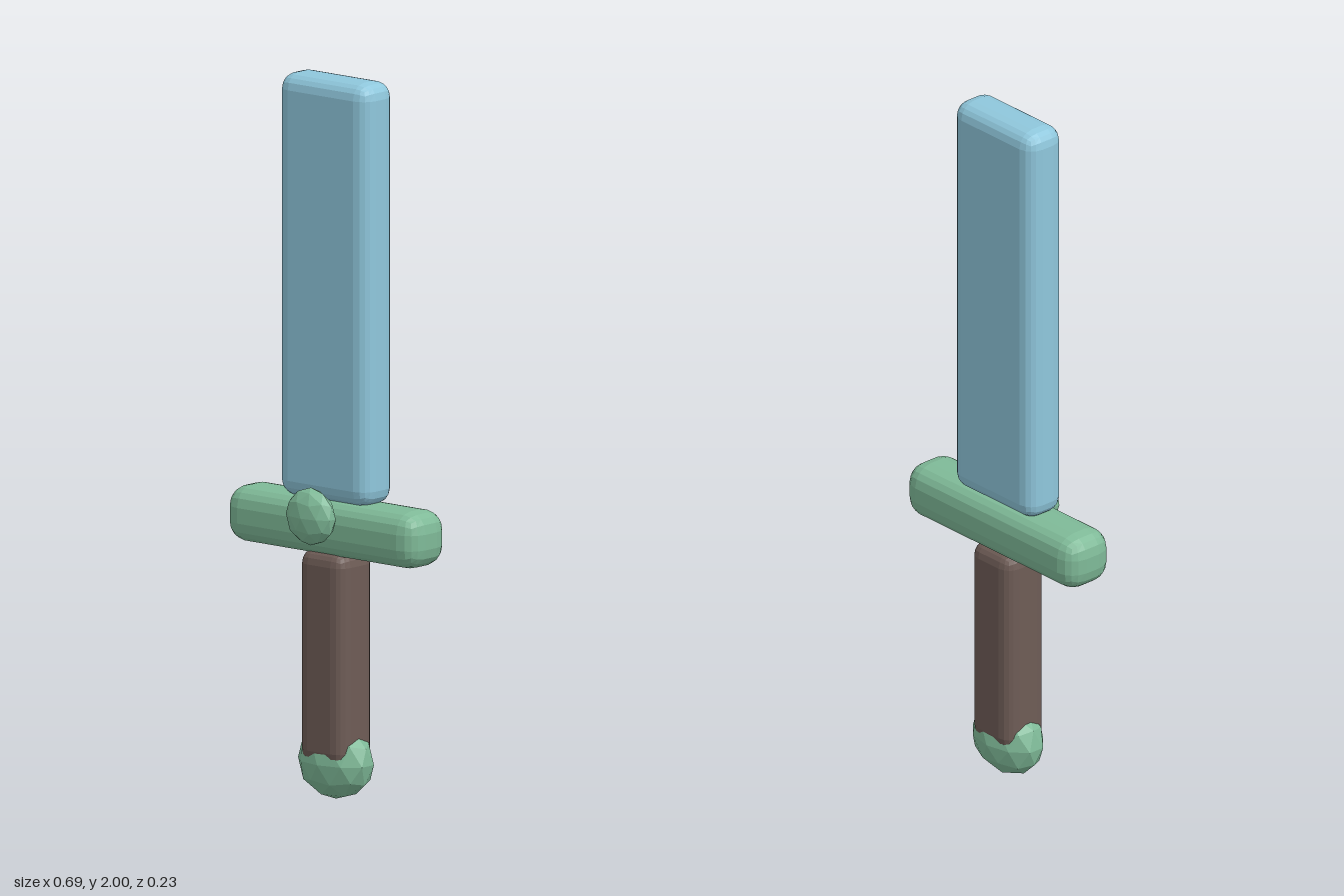
import * as THREE from 'three';
import { RoundedBoxGeometry } from 'three/addons/geometries/RoundedBoxGeometry.js';

const material = (color) => new THREE.MeshStandardMaterial({ color, flatShading: true });

export function createModel() {
  const sword = new THREE.Group();
  sword.name = 'sword';
  const blue = material(0x8fc7dc);
  const green = material(0x7fba98);
  const brown = material(0x6e5c56);

  const add = (name, geometry, mat, x, y, z) => {
    const mesh = new THREE.Mesh(geometry, mat);
    mesh.name = name;
    mesh.position.set(x, y, z);
    sword.add(mesh);
  };

  // Bevelled block spanning y0..y1
  const block = (name, mat, width, y0, y1, depth, radius) =>
    add(name, new RoundedBoxGeometry(width, y1 - y0, depth, 2, radius), mat, 0, (y0 + y1) / 2, -0.034);

  // Faceted ball with a vertex at the top and an edge running towards +x
  const ball = (name, rx, ry, rz, y, z) => {
    const geometry = new THREE.IcosahedronGeometry(1, 1);
    geometry.rotateX(-Math.atan((1 + Math.sqrt(5)) / 2));
    geometry.rotateY(Math.PI / 2);
    geometry.scale(rx, ry, rz);
    add(name, geometry, green, 0, y, z);
  };

  block('blade', blue, 0.324, 0.83, 2.0, 0.13, 0.045);
  block('crossGuard', green, 0.686, 0.68, 0.837, 0.161, 0.057);
  block('grip', brown, 0.162, 0.1, 0.695, 0.144, 0.04);
  ball('pommel', 0.121, 0.104, 0.079, 0.106, -0.034);
  ball('guardGem', 0.082, 0.08, 0.043, 0.798, 0.07);

  return sword;
}
